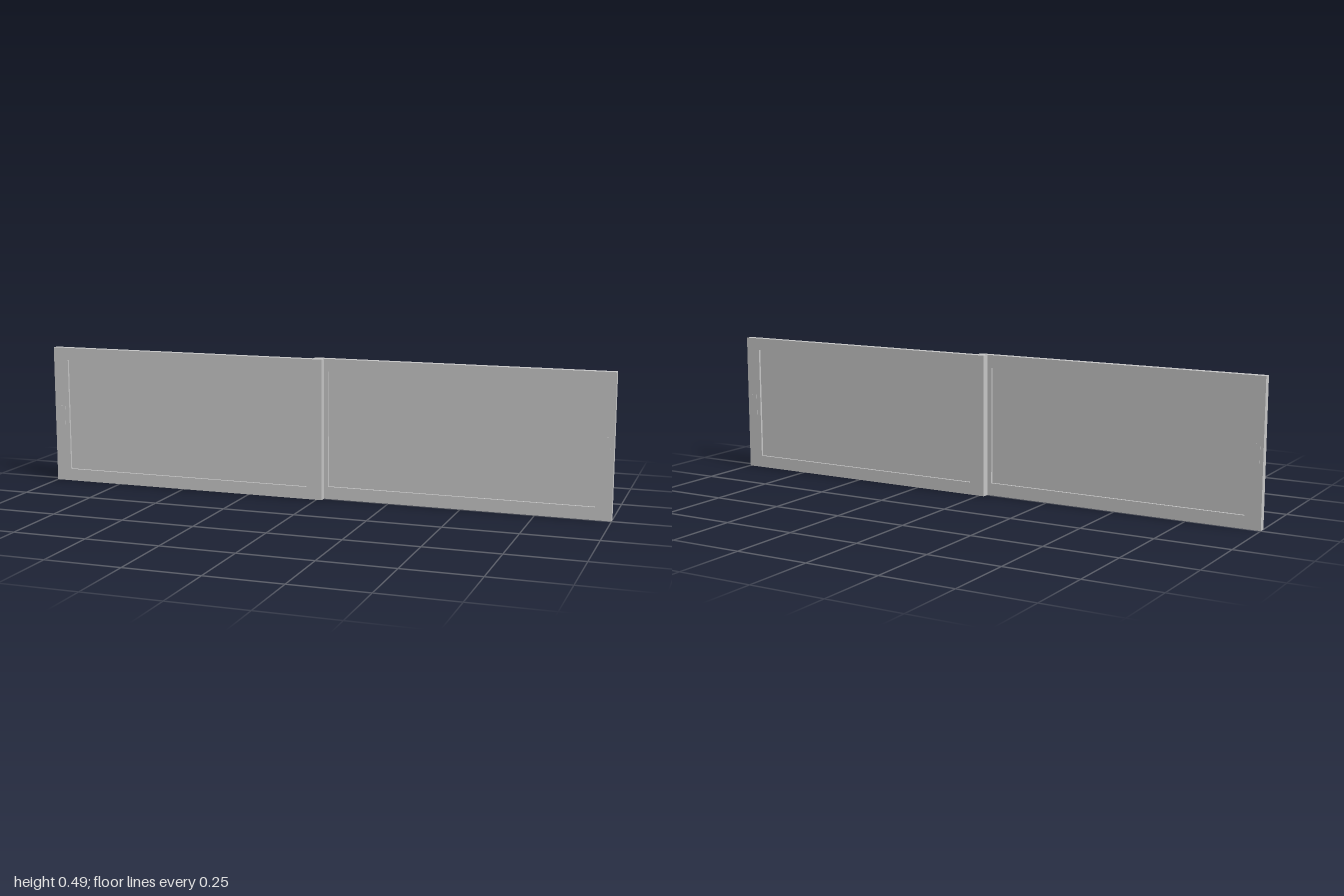
import * as THREE from 'three';

const H = 0.486;      // panel height
const T = 0.0245;     // panel thickness
const W = 1.02;       // panel width (the two overlap at the centre)
const SIDE = 0.055;   // stile width
const RAIL = 0.043;   // rail height
const GAP = 0.0005;   // clearance from the centre plane

export function createModel() {
  const group = new THREE.Group();
  group.name = 'slidingPanels';
  const grey = new THREE.MeshStandardMaterial({ color: 0xc8c8c8 });
  grey.name = 'lightGrey';

  // One sliding panel, outer end at x = -1, in front of the centre plane
  function panel(name) {
    const g = new THREE.Group();
    g.name = name;
    const add = (part, geo, x, y, z) => {
      const m = new THREE.Mesh(geo, grey);
      m.name = part;
      m.position.set(x, y, z);
      g.add(m);
    };

    // Frame with a rectangular opening
    const outline = new THREE.Shape([
      new THREE.Vector2(0, 0), new THREE.Vector2(W, 0),
      new THREE.Vector2(W, H), new THREE.Vector2(0, H),
    ]);
    outline.holes.push(new THREE.Path([
      new THREE.Vector2(SIDE, RAIL), new THREE.Vector2(SIDE, H - RAIL),
      new THREE.Vector2(W - SIDE, H - RAIL), new THREE.Vector2(W - SIDE, RAIL),
    ]));
    add('frame', new THREE.ExtrudeGeometry(outline, { depth: T, bevelEnabled: false }), -1, 0, GAP);

    // Pane recessed on both faces
    add('pane', new THREE.BoxGeometry(W - 2 * SIDE, H - 2 * RAIL, 0.0085),
      -1 + W / 2, H / 2, GAP + T / 2);

    // Pull plates standing slightly proud of both faces
    for (const z of [GAP, GAP + T])
      add('pullPlate', new THREE.BoxGeometry(0.028, 0.075, 0.002), -0.975, 0.2365, z);
    return g;
  }

  // The second panel is the first one turned half way round
  const front = panel('frontPanel');
  const back = panel('backPanel');
  back.rotation.y = Math.PI;
  group.add(front, back);
  return group;
}
